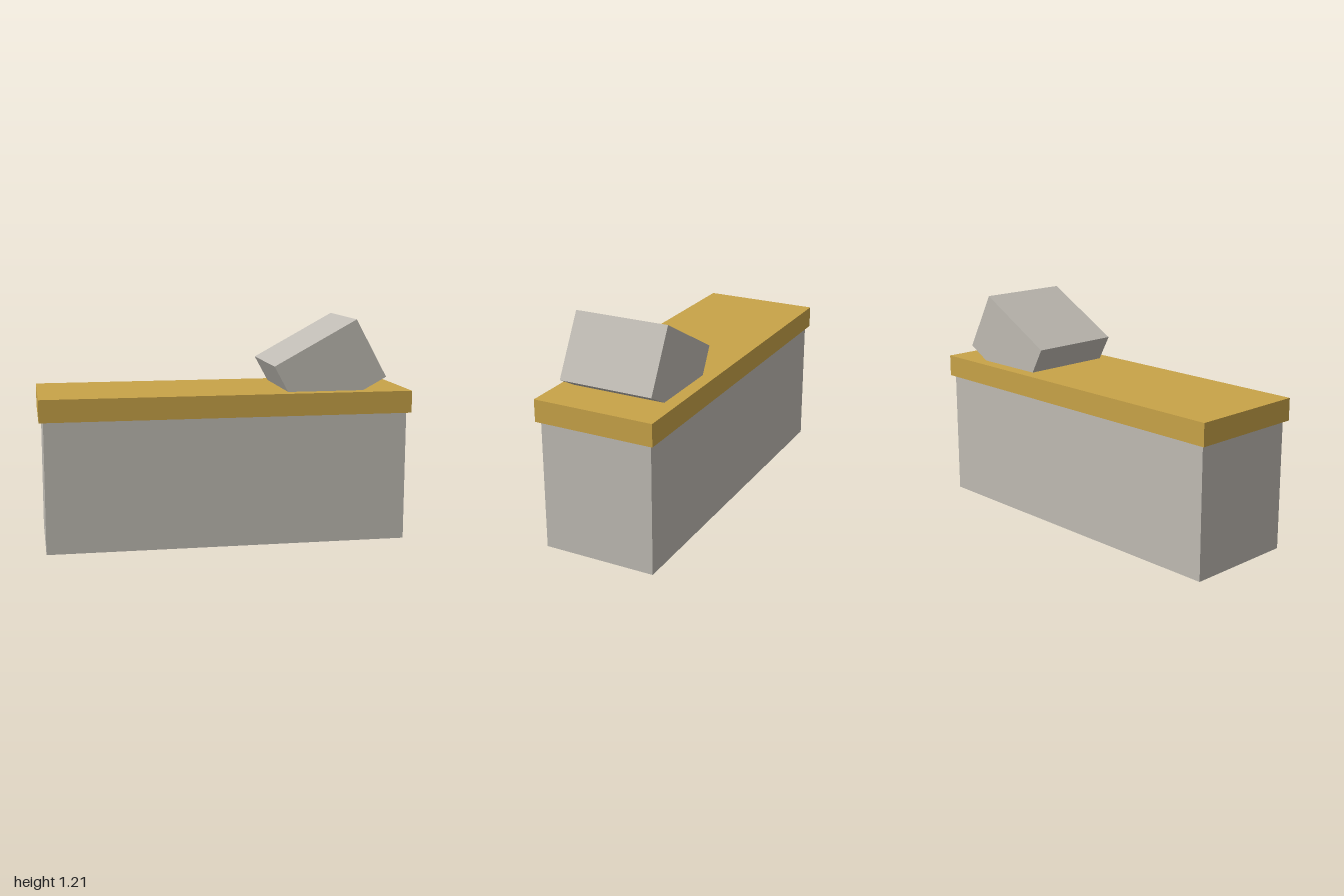
import * as THREE from 'three';

export function createModel() {
  const model = new THREE.Group();
  const stone = new THREE.MeshStandardMaterial({ color: 0xbfbbb3 });
  stone.name = 'grey stone';
  const ochre = new THREE.MeshStandardMaterial({ color: 0xc8a348 });
  ochre.name = 'ochre slab';

  function addBox(name, material, size, position, tilt = 0) {
    const mesh = new THREE.Mesh(new THREE.BoxGeometry(...size), material);
    mesh.name = name;
    mesh.position.set(...position);
    mesh.rotation.z = tilt;
    model.add(mesh);
  }

  // Plinth with an overhanging slab
  addBox('base', stone, [1.954, 0.705, 0.62], [0, 0.3525, 0]);
  addBox('slab', ochre, [2, 0.12, 0.66], [0, 0.765, 0]);

  // Tilted block sunk into the slab
  addBox('tiltedBlock', stone, [0.513, 0.358, 0.516], [0.564, 0.929, 0], THREE.MathUtils.degToRad(28.65));

  return model;
}
